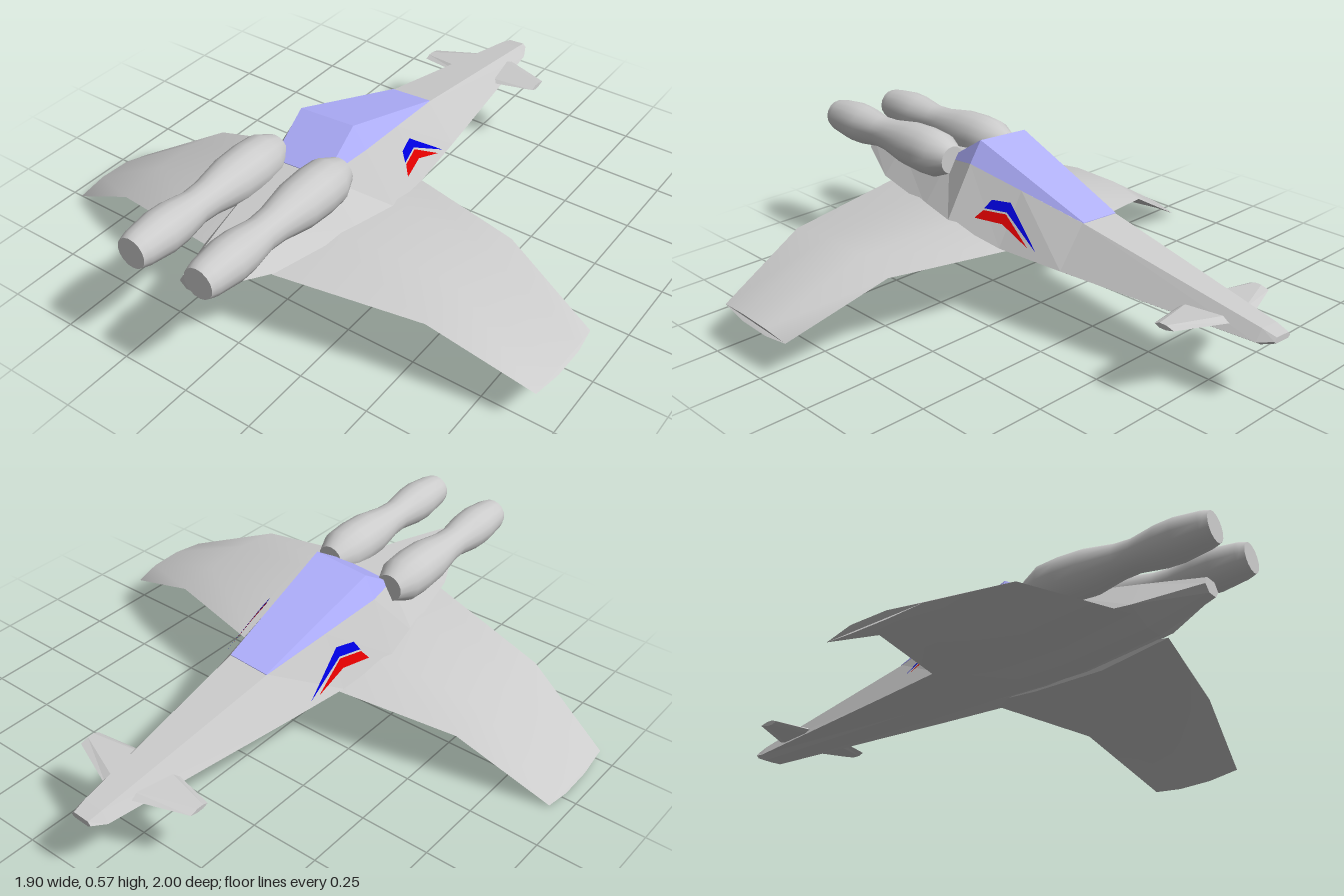
import * as THREE from 'three';
import { toCreasedNormals } from 'three/addons/utils/BufferGeometryUtils.js';

const grey = new THREE.MeshStandardMaterial({ color: 0xcccccc });
const greyFlat = new THREE.MeshStandardMaterial({ color: 0xcccccc, flatShading: true });
const glass = new THREE.MeshStandardMaterial({ color: 0xb0b0ff, flatShading: true });

// Skin a row of equal rings (each counter-clockwise seen from the last ring's end) and cap both ends
function loft(rings) {
  const n = rings[0].length, last = (rings.length - 1) * n, index = [];
  for (let r = 0; r < rings.length - 1; r++) {
    for (let i = 0; i < n; i++) {
      const a = r * n + i, b = r * n + (i + 1) % n;
      index.push(a, b, b + n, a, b + n, a + n);
    }
  }
  for (let i = 1; i < n - 1; i++) {
    index.push(0, i + 1, i);
    index.push(last, last + i, last + i + 1);
  }
  const g = new THREE.BufferGeometry();
  g.setAttribute('position', new THREE.Float32BufferAttribute(rings.flat(2), 3));
  g.setIndex(index);
  const flat = g.toNonIndexed();
  flat.computeVertexNormals();
  return flat;
}

// Close a half outline of [x, y] points (bottom to top) into a symmetric ring at z
function symmetricRing(z, half) {
  const right = half.map(([x, y]) => [x, y, z]);
  const left = half.map(([x, y]) => [-x, y, z]).reverse();
  return [...right, ...left];
}

// Loft along x on the given side; mirrored rings are run in reverse order to keep faces outward
function sideLoft(rings, side) {
  if (side > 0) return loft(rings);
  return loft(rings.map(r => r.map(([x, y, z]) => [-x, y, z])).reverse());
}

// Wing section: leading edge, lower points, trailing edge, upper points
function wingRing({ x, zl, zt, yl, yt, top, bottom, bulge = 0 }) {
  const z = f => zl + (zt - zl) * f;
  return [
    [x, yl, zl], [x + bulge, top, z(0.28)], [x + bulge, top + 0.005, z(0.65)],
    [x, yt, zt], [x + bulge, bottom + 0.005, z(0.65)], [x + bulge, bottom, z(0.28)],
  ];
}

export function createModel() {
  const model = new THREE.Group();
  const craft = new THREE.Group();
  craft.name = 'craft';
  model.add(craft);

  function add(name, geometry, material) {
    const mesh = new THREE.Mesh(geometry, material);
    mesh.name = name;
    craft.add(mesh);
    return mesh;
  }

  // Hull: z, then half outline as bottom, side and top corners
  const hull = [
    [-1.0, [0.03, 0.235], [0.04, 0.243], [0.03, 0.255]],
    [-0.95, [0.035, 0.215], [0.062, 0.23], [0.036, 0.268]],
    [-0.25, [0.05, 0.222], [0.172, 0.252], [0.078, 0.398]],
    [0.0, [0.05, 0.225], [0.21, 0.262], [0.116, 0.447]],
    [0.22, [0.05, 0.225], [0.247, 0.305], [0.15, 0.49]],
    [0.38, [0.05, 0.228], [0.215, 0.306], [0.105, 0.46]],
    [0.7, [0.04, 0.272], [0.14, 0.315], [0.06, 0.415]],
    [0.91, [0.022, 0.333], [0.045, 0.357], [0.025, 0.385]],
  ];
  add('hull', loft(hull.map(([z, ...half]) => symmetricRing(z, half))), greyFlat);

  // Canopy: wedge rising to a peak, then dropping steeply
  add('canopy', loft([
    symmetricRing(-0.255, [[0.078, 0.398], [0.077, 0.4]]),
    symmetricRing(0.22, [[0.15, 0.49], [0.105, 0.567]]),
    symmetricRing(0.38, [[0.105, 0.46], [0.104, 0.462]]),
  ]), glass);

  // Wings: root, bend and drooping tip
  const wing = [
    { x: 0.12, zl: -0.03, zt: 0.69, yl: 0.255, yt: 0.295, top: 0.32, bottom: 0.245 },
    { x: 0.61, zl: 0.09, zt: 0.59, yl: 0.232, yt: 0.25, top: 0.266, bottom: 0.2 },
    { x: 0.942, zl: 0.18, zt: 0.52, yl: 0.07, yt: 0.085, top: 0.09, bottom: 0.064, bulge: 0.01 },
  ].map(wingRing);

  // Small fins near the narrow end
  const finRing = (x, z0, z1, h) => [
    [x, 0.256, z0], [x, 0.256 + h, z0 + 0.03], [x, 0.256 + h, z1 - 0.02],
    [x, 0.256, z1], [x, 0.256 - h, z1 - 0.02], [x, 0.256 - h, z0 + 0.03],
  ];
  const fin = [finRing(0.03, -0.865, -0.665, 0.014), finRing(0.237, -0.78, -0.705, 0.008)];

  // Engine pod profile: radius, distance along the axis
  const pod = [
    [0, 0.335], [0.05, 0.335], [0.05, 0.335], [0.08, 0.4], [0.084, 0.47], [0.08, 0.56],
    [0.06, 0.67], [0.057, 0.73], [0.071, 0.82], [0.073, 0.88], [0.062, 0.97],
    [0.058, 0.985], [0.053, 1.0], [0, 1.0],
  ].map(([r, z]) => new THREE.Vector2(r, z));
  const podGeometry = toCreasedNormals(
    new THREE.LatheGeometry(pod, 16).rotateX(Math.PI / 2), 0.75);

  // Chevron stripes as [z, y] outlines, held just off the sloping hull side
  const chevrons = {
    upperChevron: [0x0000e0, [[0.07, 0.41], [0, 0.415], [-0.155, 0.29], [0, 0.384], [0.085, 0.38]]],
    lowerChevron: [0xe00000, [[0.085, 0.374], [0, 0.378], [-0.12, 0.297], [0, 0.347], [0.107, 0.345]]],
  };
  function chevronGeometry(outline, side) {
    const g = new THREE.ShapeGeometry(new THREE.Shape(outline.map(p => new THREE.Vector2(...p))));
    const p = g.attributes.position;
    for (let i = 0; i < p.count; i++) {
      const z = p.getX(i), y = p.getY(i);
      p.setXYZ(i, side * (0.188 + 0.25 * z - 0.53 * (y - 0.37)), y, z);
    }
    const flat = g.toNonIndexed();
    flat.computeVertexNormals();
    // Face the stripe outward
    if (flat.attributes.normal.getX(0) * side < 0) {
      const q = flat.attributes.position;
      for (let i = 0; i < q.count; i += 3) {
        const a = new THREE.Vector3().fromBufferAttribute(q, i);
        const b = new THREE.Vector3().fromBufferAttribute(q, i + 1);
        q.setXYZ(i, b.x, b.y, b.z);
        q.setXYZ(i + 1, a.x, a.y, a.z);
      }
      flat.computeVertexNormals();
    }
    return flat;
  }

  for (const [side, label] of [[1, 'left'], [-1, 'right']]) {
    add(label + 'Wing', toCreasedNormals(sideLoft(wing, side), 0.6), grey);
    add(label + 'Fin', sideLoft(fin, side), greyFlat);

    const engine = add(label + 'Engine', podGeometry, grey);
    engine.position.set(side * 0.13, 0.463, 0);
    engine.rotation.x = -0.02;

    for (const [name, [color, outline]] of Object.entries(chevrons)) {
      add(label + name[0].toUpperCase() + name.slice(1), chevronGeometry(outline, side),
        new THREE.MeshStandardMaterial({ color, side: THREE.DoubleSide }));
    }
  }

  // The whole craft banks slightly to one side
  craft.rotation.z = 0.065;
  craft.position.x = 0.005;
  return model;
}
